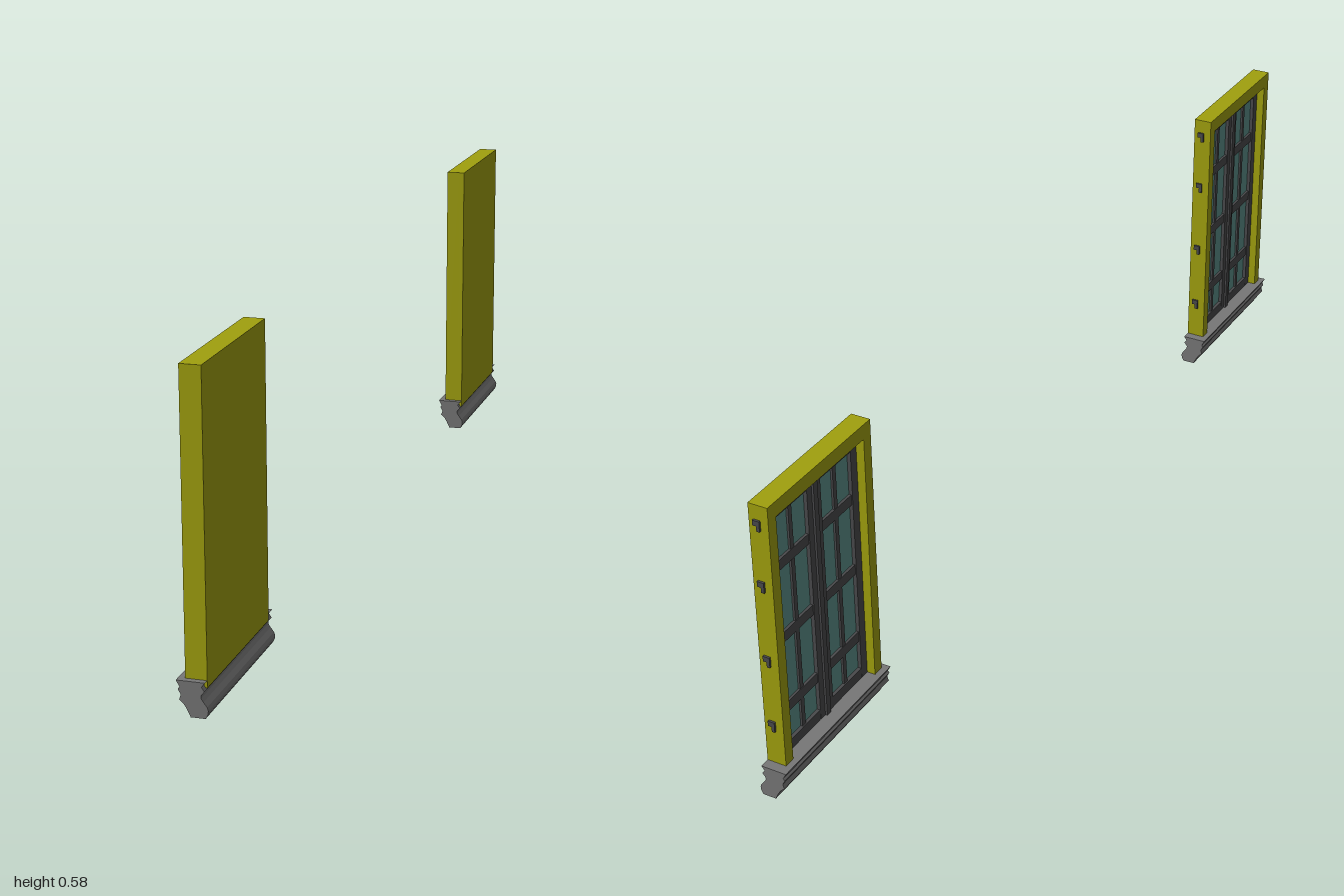
import * as THREE from 'three';

const mat = (color) => new THREE.MeshStandardMaterial({ color });
const yellow = mat(0xa0a00e), stone = mat(0x777777), dark = mat(0x4a4a4c), glassMat = mat(0x5c918a);

function add(group, name, geometry, material) {
  const mesh = new THREE.Mesh(geometry, material);
  mesh.name = name;
  group.add(mesh);
  return mesh;
}

// Box given by its lower and upper corners
function box(group, name, material, [x0, y0, z0], [x1, y1, z1]) {
  const mesh = add(group, name, new THREE.BoxGeometry(x1 - x0, y1 - y0, z1 - z0), material);
  mesh.position.set((x0 + x1) / 2, (y0 + y1) / 2, (z0 + z1) / 2);
}

const shapeOf = (points) => new THREE.Shape(points.map(([x, y]) => new THREE.Vector2(x, y)));

function createWindow() {
  const win = new THREE.Group();
  win.name = 'window';

  // Moulded sill, one profile run along z
  const sill = new THREE.ExtrudeGeometry(shapeOf([
    [-0.003, 0], [0.022, 0], [0.026, 0.007], [0.027, 0.014], [0.025, 0.02], [0.019, 0.028],
    [0.015, 0.034], [0.015, 0.039], [0.021, 0.046], [0.016, 0.053], [0.022, 0.061],
    [-0.027, 0.061], [-0.021, 0.05], [-0.024, 0.046], [-0.019, 0.037], [-0.022, 0.028],
    [-0.014, 0.021], [-0.009, 0.013],
  ]), { depth: 0.335, bevelEnabled: false });
  add(win, 'sill', sill.translate(0, 0, -0.1675), stone);

  // Everything above the sill sits slightly off its centre
  const upper = new THREE.Group();
  upper.name = 'casement';
  upper.position.z = 0.004;
  win.add(upper);

  // Closed back panel and the surround with its opening towards -x
  const half = 0.1525, open = 0.1305, top = 0.578, head = 0.55, base = 0.048;
  box(upper, 'backPanel', yellow, [0.012, base, -half], [0.022, top, half]);
  const surround = new THREE.ExtrudeGeometry(shapeOf([
    [-half, base], [-open, base], [-open, head], [open, head],
    [open, base], [half, base], [half, top], [-half, top],
  ]), { depth: 0.027, bevelEnabled: false });
  add(upper, 'surround', surround.rotateY(-Math.PI / 2).translate(0.012, 0, 0), yellow);

  // Two glazed leaves, each with two columns and four rows of panes
  for (const side of [-1, 1]) {
    const leaf = new THREE.Group();
    leaf.name = side < 0 ? 'backLeaf' : 'frontLeaf';
    upper.add(leaf);
    const span = (a, b) => (side < 0 ? [-b, -a] : [a, b]);
    const bar = (name, material, a, b, y0, y1, x0, x1 = 0.012) => {
      const [z0, z1] = span(a, b);
      box(leaf, name, material, [x0, y0, z0], [x1, y1, z1]);
    };
    bar('glass', glassMat, 0, open, 0.061, head, 0.008);
    bar('meetingStile', dark, 0.002, 0.02, 0.061, head, 0.001);
    bar('hingeStile', dark, open - 0.018, open, 0.061, head, 0.001);
    bar('glazingBar', dark, 0.061, 0.071, 0.061, head, 0.004);
    bar('bottomRail', dark, 0.02, open - 0.018, 0.061, 0.081, 0.0015);
    bar('topRail', dark, 0.02, open - 0.018, head - 0.02, head, 0.0015);
    for (const y of [0.15, 0.292, 0.435])
      bar('crossBar', dark, 0.02, open - 0.018, y - 0.01, y + 0.01, 0.003);
  }
  // Cover strip between the leaves
  box(upper, 'coverStrip', dark, [-0.003, 0.061, -0.006], [0.012, head, 0.006]);

  // Small hooked brackets on the -z edge
  for (const y of [0.139, 0.273, 0.422, 0.54]) {
    box(upper, 'bracketPlate', dark, [0, y, -half - 0.004], [0.013, y + 0.01, -half]);
    box(upper, 'bracketHook', dark, [0, y - 0.01, -half - 0.004], [0.006, y, -half]);
  }
  return win;
}

export function createModel() {
  const model = new THREE.Group();
  model.name = 'windowPair';
  for (const z of [-0.8325, 0.8325]) {
    const win = createWindow();
    win.position.z = z;
    model.add(win);
  }
  return model;
}
